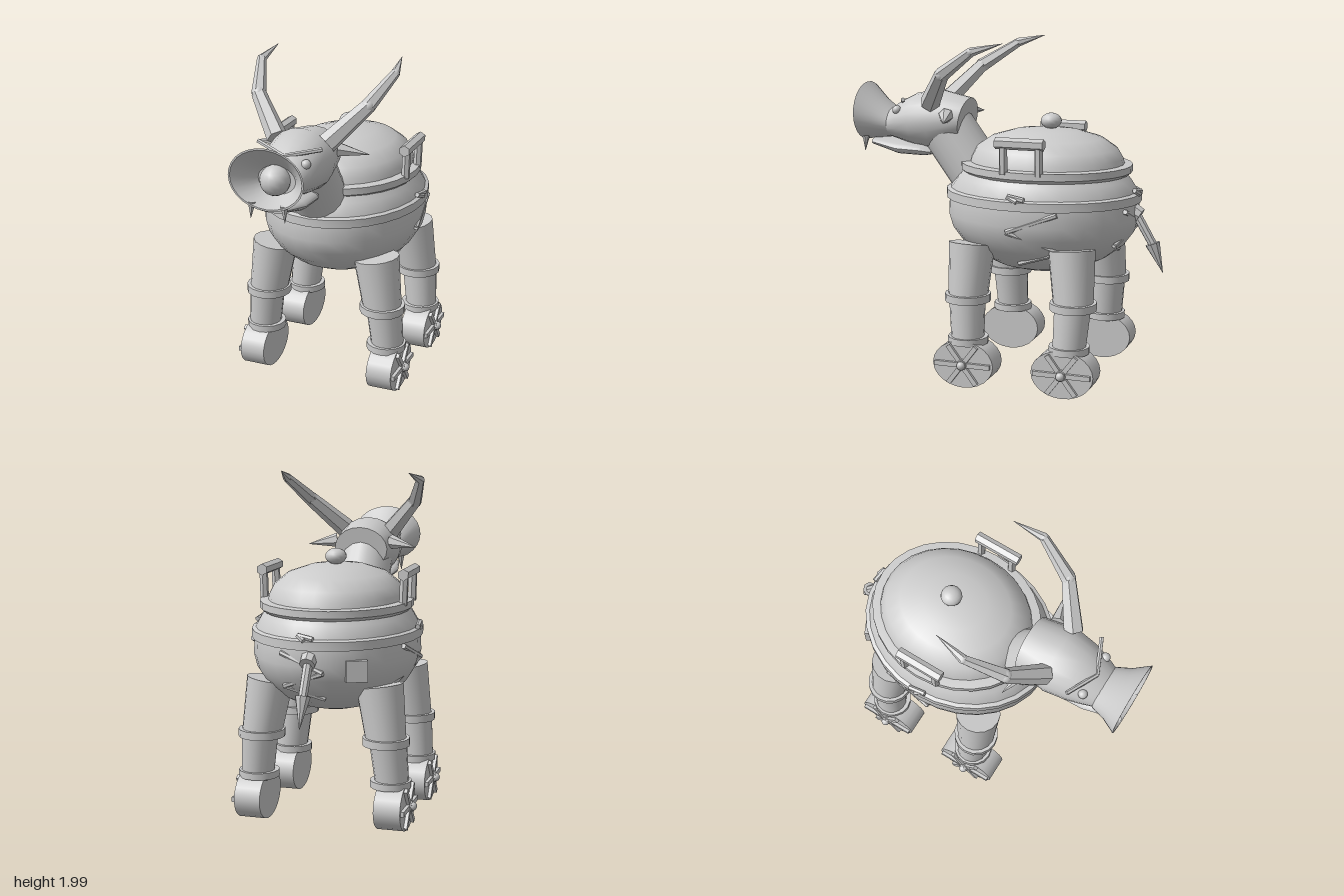
import * as THREE from 'three';
import { toCreasedNormals } from 'three/addons/utils/BufferGeometryUtils.js';

export function createModel() {
  const model = new THREE.Group();
  const metal = new THREE.MeshStandardMaterial({ color: 0xcccccc });
  metal.name = 'grey metal';
  const V = (x, y, z) => new THREE.Vector3(x, y, z);

  const add = (name, geo, parent = model) => {
    const m = new THREE.Mesh(geo, metal);
    m.name = name;
    parent.add(m);
    return m;
  };
  const group = (name) => {
    const g = new THREE.Group();
    g.name = name;
    model.add(g);
    return g;
  };
  // Tapered rod between two points
  const rod = (name, a, b, ra, rb, sides, parent) => {
    let geo = new THREE.CylinderGeometry(rb, ra, a.distanceTo(b), sides);
    if (sides < 9) geo = toCreasedNormals(geo, 0.4);
    const m = add(name, geo, parent);
    m.position.copy(a).lerp(b, 0.5);
    m.quaternion.setFromUnitVectors(V(0, 1, 0), b.clone().sub(a).normalize());
    return m;
  };
  const ball = (name, r, x, y, z, parent) => {
    const m = add(name, new THREE.SphereGeometry(r, 16, 10), parent);
    m.position.set(x, y, z);
    return m;
  };
  // Elliptical turned part: profile of [radius, y]
  const turned = (name, profile, rx, rz, cz) => {
    const geo = new THREE.LatheGeometry(profile.map((p) => new THREE.Vector2(...p)), 28);
    geo.scale(rx, 1, rz);
    geo.translate(0, 0, cz);
    return add(name, toCreasedNormals(geo, 0.6));
  };
  // Loft along z: sections of [z, centre y, x radius, y radius, z lean]
  const loft = (name, sections, parent, n = 20) => {
    const pos = [], idx = [];
    sections.forEach(([z, y, rx, ry, lean = 0]) => {
      for (let j = 0; j < n; j++) {
        const a = (j / n) * Math.PI * 2;
        pos.push(Math.cos(a) * rx, y + Math.sin(a) * ry, z + lean * Math.sin(a));
      }
    });
    for (let i = 0; i < sections.length - 1; i++)
      for (let j = 0; j < n; j++) {
        const k = (j + 1) % n, a = i * n + j, b = i * n + k, c = b + n, d = a + n;
        idx.push(a, b, d, b, c, d);
      }
    const geo = new THREE.BufferGeometry();
    geo.setAttribute('position', new THREE.Float32BufferAttribute(pos, 3));
    geo.setIndex(idx);
    return add(name, toCreasedNormals(geo, 0.7), parent);
  };

  // Cauldron body, band, lid
  const RX = 0.48, RZ = 0.575, CZ = -0.2;
  const profile = [[0, 0.65], [0.28, 0.655], [0.48, 0.685], [0.68, 0.74], [0.85, 0.815],
    [0.96, 0.9], [1, 0.98], [0.99, 1.07], [0.98, 1.13], [0.9, 1.2], [0.84, 1.24], [0, 1.24]];
  turned('body', profile, RX, RZ, CZ);
  turned('bodyBand', [[0.97, 1.07], [1.02, 1.075], [1.02, 1.125], [0.97, 1.135]], RX, RZ, CZ);
  turned('lidRim', [[0, 1.225], [0.95, 1.225], [1, 1.245], [1, 1.285], [0.9, 1.29], [0, 1.29]], 0.44, 0.512, -0.217);
  turned('lid', [[1, 1.285], [0.98, 1.32], [0.91, 1.375], [0.72, 1.435], [0.42, 1.475], [0.2, 1.487], [0, 1.49]],
    0.392, 0.462, -0.22);
  rod('knobNeck', V(0, 1.47, -0.245), V(0, 1.52, -0.245), 0.03, 0.03, 12);
  ball('lidKnob', 0.062, 0, 1.53, -0.245).scale.y = 0.75;

  // Raised zigzags that follow the body wall
  const wallRadius = (y) => {
    for (let i = 1; i < profile.length; i++) {
      const [r0, y0] = profile[i - 1], [r1, y1] = profile[i];
      if (y <= y1) return r0 + ((r1 - r0) * (y - y0)) / (y1 - y0);
    }
    return 0.9;
  };
  const zigzag = (name, place, pts) => {
    const g = group(name);
    const p = pts.map(([u, y]) => place(u, y, wallRadius(y) * 1.015));
    for (let i = 1; i < p.length; i++) rod('zigzagBar', p[i - 1], p[i], 0.015, 0.015, 6, g);
  };
  const bolt = [[-0.24, 1.14], [-0.14, 1.155], [-0.2, 1.13]];
  const zig = [[-0.42, 1.06], [-0.13, 0.95], [-0.42, 0.83], [-0.16, 0.74]];
  for (const s of [1, -1]) {
    const side = (z, y, r) => V(s * RX * Math.sqrt(Math.max(0, r * r - ((z - CZ) / RZ) ** 2)), y, z);
    zigzag('sideZigzag', side, zig);
    zigzag('zigzagTip', (z, y, r) => side(z, y, r * 1.03), bolt);
  }
  const rear = (x, y, r) => V(x, y, CZ - RZ * Math.sqrt(Math.max(0, r * r - (x / RX) ** 2)));
  zigzag('rearZigzag', rear, [[0.17, 1.05], [-0.08, 0.95], [0.17, 0.85], [-0.06, 0.78]]);
  zigzag('rearZigzagTip', (x, y, r) => rear(x, y, r * 1.03), [[-0.03, 1.14], [0.06, 1.155], [0.02, 1.13]]);

  // Rear hatch
  const hatch = add('rearHatch', new THREE.BoxGeometry(0.12, 0.12, 0.04));
  hatch.position.set(-0.25, 0.96, -0.69);
  hatch.rotation.y = 0.46;

  // Tail
  const tail = group('tail');
  rod('tailSocket', V(0, 1.03, -0.74), V(0, 1, -0.79), 0.05, 0.045, 8, tail);
  rod('tailRod', V(0, 1.01, -0.765), V(0, 0.83, -0.87), 0.028, 0.026, 8, tail);
  rod('tailTip', V(0, 0.84, -0.865), V(0, 0.67, -0.93), 0.045, 0.001, 8, tail);

  // Neck and head
  rod('neck', V(0, 1.13, 0.17), V(0, 1.46, 0.41), 0.165, 0.165, 20);
  const head = group('head');
  loft('skull', [[0.28, 1.515, 0, 0], [0.28, 1.515, 0.165, 0.13, -0.02], [0.47, 1.51, 0.2, 0.18, -0.01],
    [0.6, 1.505, 0.18, 0.158], [0.69, 1.495, 0.155, 0.122], [0.77, 1.48, 0.125, 0.085], [0.77, 1.48, 0, 0]], head);
  loft('snoutFunnel', [[0.755, 1.48, 0.135, 0.088], [0.84, 1.508, 0.165, 0.125], [0.93, 1.545, 0.22, 0.175],
    [0.93, 1.545, 0.21, 0.165], [0.85, 1.515, 0.15, 0.115], [0.79, 1.5, 0.11, 0.08], [0.785, 1.5, 0, 0]], head, 28);
  ball('noseBall', 0.085, 0, 1.505, 0.81, head);
  loft('lowerJaw', [[0.48, 1.32, 0, 0], [0.48, 1.32, 0.11, 0.02], [0.54, 1.33, 0.135, 0.042],
    [0.7, 1.335, 0.13, 0.044], [0.87, 1.365, 0.095, 0.025], [0.87, 1.365, 0, 0]], head);

  for (const s of [1, -1]) {
    // Horn, ear, eye, brow, fang
    const horn = [V(s * 0.15, 1.62, 0.46), V(s * 0.33, 1.81, 0.31), V(s * 0.41, 1.95, 0.1), V(s * 0.385, 2, -0.08)];
    const r = [0.06, 0.043, 0.027, 0.001];
    for (let i = 0; i < 3; i++) rod('horn', horn[i], horn[i + 1], r[i], r[i + 1], 6, head);
    for (let i = 1; i < 3; i++) ball('hornJoint', r[i] * 0.95, ...horn[i].toArray(), head);
    rod('ear', V(s * 0.17, 1.555, 0.35), V(s * 0.34, 1.53, 0.3), 0.045, 0.001, 6, head);
    ball('eye', 0.027, s * 0.125, 1.57, 0.685, head);
    rod('brow', V(s * 0.19, 1.64, 0.615), V(0, 1.605, 0.7), 0.013, 0.013, 6, head);
    rod('fang', V(s * 0.095, 1.405, 0.905), V(s * 0.1, 1.31, 0.91), 0.024, 0.001, 6, head);

    // Lid handle
    const handle = group('lidHandle');
    for (const z of [-0.095, -0.305])
      rod('handlePost', V(s * 0.415, 1.27, z), V(s * 0.42, 1.45, z), 0.025, 0.025, 6, handle);
    rod('handleGrip', V(s * 0.42, 1.447, -0.05), V(s * 0.42, 1.447, -0.335), 0.034, 0.034, 6, handle);

    // Legs on wheels
    for (const [top, knee, ankle, hubZ] of [[0.13, 0.14, 0.13, 0.13], [-0.475, -0.5, -0.485, -0.47]]) {
      const leg = group(top > 0 ? 'frontLeg' : 'rearLeg');
      rod('upperLeg', V(s * 0.325, 0.84, top), V(s * 0.37, 0.53, knee), 0.135, 0.115, 16, leg);
      rod('kneeCollar', V(s * 0.37, 0.507, knee), V(s * 0.37, 0.552, knee), 0.135, 0.135, 16, leg);
      rod('lowerLeg', V(s * 0.38, 0.54, knee), V(s * 0.405, 0.26, ankle), 0.107, 0.095, 16, leg);
      rod('ankleCollar', V(s * 0.395, 0.262, ankle), V(s * 0.395, 0.302, ankle), 0.118, 0.118, 16, leg);

      const wheelGeo = new THREE.CylinderGeometry(1, 1, 0.155, 24).rotateZ(Math.PI / 2).scale(1, 0.14, 0.185);
      add('wheel', wheelGeo, leg).position.set(s * 0.413, 0.15, hubZ);
      for (let i = 0; i < 3; i++) {
        const a = (i * Math.PI) / 3;
        const dy = Math.sin(a) * 0.13, dz = Math.cos(a) * 0.17;
        const spoke = add('wheelSpoke', new THREE.BoxGeometry(0.03, 0.028, 2 * Math.hypot(dy, dz)), leg);
        spoke.position.set(s * 0.495, 0.15, hubZ);
        spoke.rotation.x = -Math.atan2(dy, dz);
      }
      rod('wheelHub', V(s * 0.48, 0.15, hubZ), V(s * 0.52, 0.15, hubZ), 0.037, 0.03, 8, leg);
      ball('hubCap', 0.026, s * 0.518, 0.15, hubZ, leg);
    }
  }
  return model;
}
